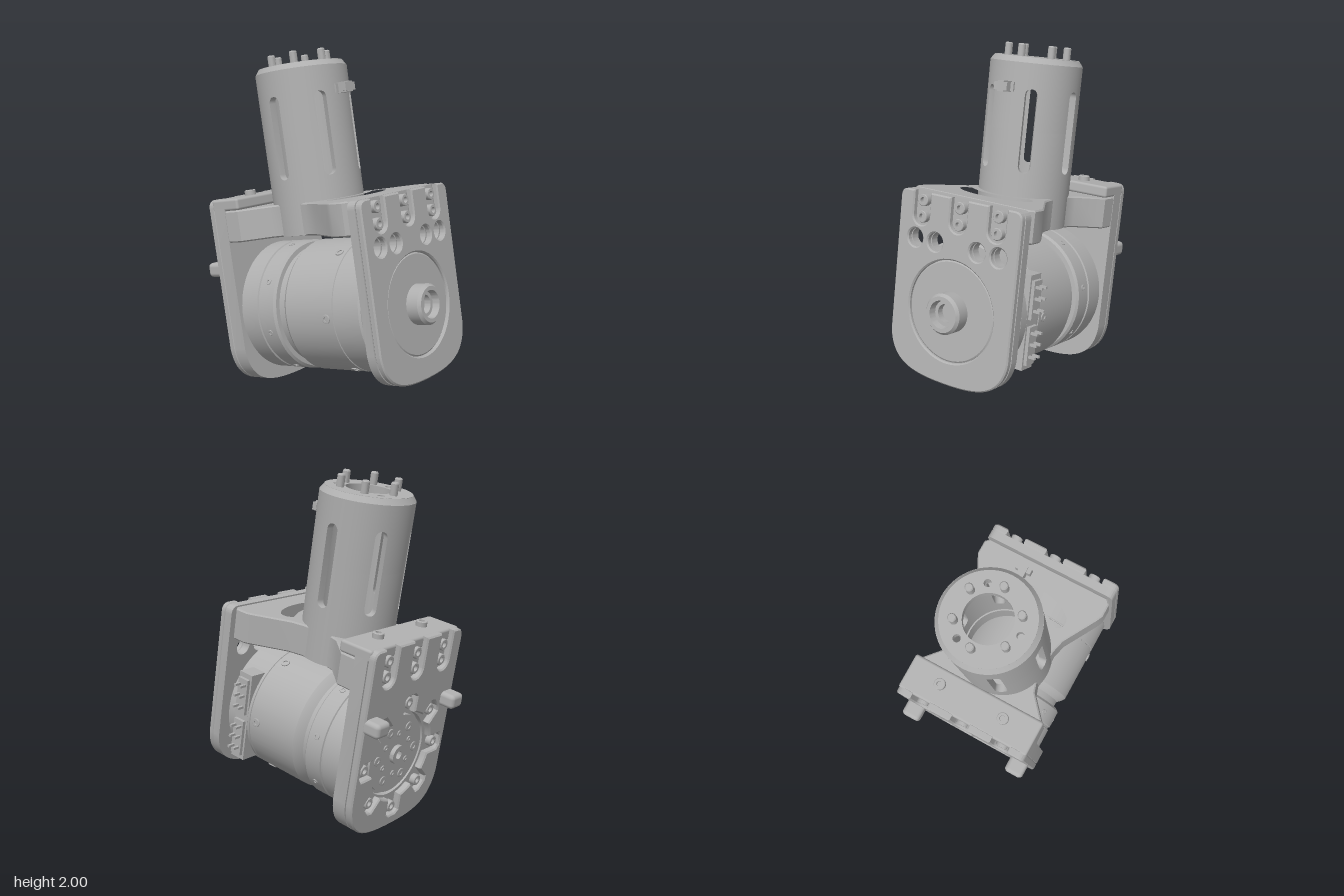
import * as THREE from 'three';
import { toCreasedNormals } from 'three/addons/utils/BufferGeometryUtils.js';
import { RoundedBoxGeometry } from 'three/addons/geometries/RoundedBoxGeometry.js';

const V2 = (x, y) => new THREE.Vector2(x, y);
const UP = new THREE.Vector3(0, 1, 0);
const HALF = 0.407;             // half width of the side plates
const TUBE = { z: -0.03, r: 0.267, inner: 0.225 };

export function createModel() {
  const metal = new THREE.MeshStandardMaterial({ color: 0xb0b0b0 });
  metal.name = 'grey metal';
  const model = new THREE.Group();
  model.name = 'robotJoint';
  // everything is built upright along the motor axis (z), then leaned back
  const joint = new THREE.Group();
  joint.name = 'tiltedJoint';
  joint.position.set(-0.017, 0.52, 0);
  joint.rotation.x = -THREE.MathUtils.degToRad(10);
  model.add(joint);

  const add = (name, geo, x = 0, y = 0, z = 0) => {
    const m = new THREE.Mesh(geo, metal);
    m.name = name;
    m.position.set(x, y, z);
    joint.add(m);
    return m;
  };
  const lathe = (pts, seg = 64) =>
    toCreasedNormals(new THREE.LatheGeometry(pts.map(p => V2(p[0], p[1])), seg), 0.5);
  const extrude = (shape, depth, bevel = 0) => {
    const g = new THREE.ExtrudeGeometry(shape, {
      depth: depth - 2 * bevel, curveSegments: 24, bevelEnabled: bevel > 0,
      bevelSize: bevel, bevelThickness: bevel, bevelOffset: -bevel, bevelSegments: 1,
    });
    g.translate(0, 0, bevel);
    return toCreasedNormals(g, 0.5);
  };
  const circle = (x, y, r) => new THREE.Path().absarc(x, y, r, 0, Math.PI * 2, true);

  // socket-head bolt standing on a surface and pointing along dir
  const boltGeo = lathe([[1, 0], [1, 0.9], [0.9, 1], [0.5, 1], [0.5, 0.3], [0, 0.3]], 16);
  const bolt = (name, r, h, pos, dir) => {
    const m = add(name, boltGeo, ...pos);
    m.scale.set(r, h, r);
    m.quaternion.setFromUnitVectors(UP, new THREE.Vector3(...dir).normalize());
  };

  // plate outline: rounded bottom, optional U notches in the top edge
  const plateShape = (top, bottom, notchEnd) => {
    const s = new THREE.Shape();
    s.moveTo(0, bottom);
    s.quadraticCurveTo(0.13, bottom, 0.2, bottom + 0.015);
    s.quadraticCurveTo(HALF - 0.015, bottom + 0.05, HALF, -0.19);
    s.lineTo(HALF, top - 0.05);
    s.quadraticCurveTo(HALF, top, HALF - 0.05, top);
    if (notchEnd) for (const x of [0.254, 0, -0.254]) {
      s.lineTo(x + 0.057, top);
      s.lineTo(x + 0.057, notchEnd);
      s.absarc(x, notchEnd, 0.057, 0, Math.PI, true);
      s.lineTo(x - 0.057, top);
    }
    s.lineTo(-HALF + 0.05, top);
    s.quadraticCurveTo(-HALF, top, -HALF, top - 0.05);
    s.lineTo(-HALF, -0.19);
    s.quadraticCurveTo(-HALF + 0.015, bottom + 0.05, -0.2, bottom + 0.015);
    s.quadraticCurveTo(-0.13, bottom, 0, bottom);
    return s;
  };

  // front plate: plain inner layer, notched outer layer, recessed disc and hub
  const frontInner = plateShape(0.63, -0.42), frontOuter = plateShape(0.63, -0.42, 0.497);
  for (const s of [frontInner, frontOuter])
    for (const x of [-0.283, -0.143, 0.143, 0.283]) s.holes.push(circle(x, 0.365, 0.052));
  frontOuter.holes.push(circle(0, 0, 0.288));
  add('frontPlateInner', extrude(frontInner, 0.05), 0, 0, 0.505);
  add('frontPlateOuter', extrude(frontOuter, 0.04, 0.008), 0, 0, 0.555);
  const disc = lathe([[0.286, 0.55], [0.286, 0.578], [0.278, 0.584], [0, 0.584]]);
  add('frontDisc', disc.rotateX(Math.PI / 2));
  const hub = lathe([[0.114, 0.57], [0.114, 0.655], [0.1, 0.672], [0.078, 0.672],
    [0.072, 0.63], [0.052, 0.63], [0.052, 0.59], [0, 0.59]]);
  add('frontHub', hub.rotateX(Math.PI / 2));

  // back plate: the outer layer has pockets opening into the central hole
  const backInner = plateShape(0.7, -0.435), backOuter = plateShape(0.7, -0.435, 0.53);
  backInner.holes.push(circle(0, 0, 0.255));
  const pockets = new THREE.Path();
  for (let k = 0; k < 8; k++) {
    const a = -k * Math.PI / 4, ring = [[0.265, 0.2], [0.36, 0.15], [0.375, 0.08],
      [0.375, -0.08], [0.36, -0.15], [0.265, -0.2], [0.265, -0.3], [0.265, -0.4], [0.265, -0.5]];
    ring.forEach(([r, d], i) => {
      const p = [r * Math.cos(a + d), r * Math.sin(a + d)];
      if (k + i === 0) pockets.moveTo(...p); else pockets.lineTo(...p);
    });
  }
  pockets.closePath();
  backOuter.holes.push(pockets);
  add('backPlateInner', extrude(backInner, 0.085), 0, 0, -0.49);
  add('backPlateOuter', extrude(backOuter, 0.047, 0.008), 0, 0, -0.537);
  add('backFlange', new RoundedBoxGeometry(2 * HALF, 0.068, 0.21, 2, 0.015), 0, 0.666, -0.4);
  for (const s of [-1, 1]) {
    add('stopBlock', new RoundedBoxGeometry(0.112, 0.085, 0.13, 3, 0.025), s * 0.35, 0.285, -0.56);
    bolt('flangeBolt', 0.033, 0.03, [s * 0.2, 0.7, -0.384], [0, 1, 0]);
  }

  // plate bolts
  for (const x of [-0.254, 0, 0.254]) {
    for (const y of [0.58, 0.487]) bolt('frontPlateBolt', 0.034, 0.034, [x, y, 0.555], [0, 0, 1]);
    for (const y of [0.62, 0.53]) bolt('backPlateBolt', 0.034, 0.034, [x, y, -0.49], [0, 0, -1]);
  }
  for (let k = 0; k < 8; k++) {
    const a = k * Math.PI / 4;
    bolt('pocketBolt', 0.033, 0.035, [0.325 * Math.cos(a), 0.325 * Math.sin(a), -0.49], [0, 0, -1]);
  }

  // motor housing with neck, grooves and rear output flange
  const motor = lathe([[0, -0.475], [0.025, -0.475], [0.025, -0.515], [0.055, -0.515],
    [0.055, -0.49], [0.235, -0.49], [0.235, -0.46], [0.254, -0.46], [0.254, -0.42],
    [0.37, -0.42], [0.385, -0.405], [0.385, -0.28], [0.377, -0.276], [0.377, -0.264],
    [0.385, -0.26], [0.385, -0.155], [0.372, -0.142], [0.346, -0.14], [0.346, -0.1],
    [0.372, -0.075], [0.385, -0.055], [0.385, 0.284], [0.38, 0.286], [0.38, 0.292],
    [0.385, 0.294], [0.385, 0.465], [0.375, 0.475], [0.11, 0.475], [0.11, 0.52], [0, 0.52]], 72);
  add('motorHousing', motor.rotateX(Math.PI / 2));
  const radialBolts = (name, n, start, r, h, z) => {
    for (let k = 0; k < n; k++) {
      const a = start + k * 2 * Math.PI / n, c = Math.cos(a), s = Math.sin(a);
      bolt(name, r, h, [0.381 * c, 0.381 * s, z], [c, s, 0]);
    }
  };
  radialBolts('housingBolt', 6, 0, 0.026, 0.01, 0.238);
  radialBolts('neckBolt', 8, 0.24, 0.018, 0.008, -0.208);
  for (let k = 0; k < 12; k++) {
    const a = k * Math.PI / 6, big = k % 2 === 0;
    const r = big ? 0.17 : 0.125;
    bolt('outputFlangeBolt', big ? 0.028 : 0.018, 0.008,
      [r * Math.cos(a), r * Math.sin(a), -0.488], [0, 0, -1]);
  }

  // electrical connectors on the left side of the motor
  add('connectorBase', new THREE.BoxGeometry(0.13, 0.54, 0.1), 0.32, -0.005, 0.36);
  for (const y of [0.125, -0.135]) {
    add('connector', new THREE.BoxGeometry(0.03, 0.22, 0.075), 0.39, y, 0.36);
    for (const dy of [-0.06, 0.01, 0.075]) for (const dz of [-0.02, 0.02])
      add('connectorPin', new THREE.BoxGeometry(0.06, 0.014, 0.014), 0.417, y + dy, 0.36 + dz);
  }

  // waisted bridge joining the plates, with tube bore and crescent window
  const bridge = new THREE.Shape();
  const side = [[0.38, 0.495], [0.405, 0.47], [0.405, 0.39], [0.385, 0.35], [0.275, 0.16],
    [0.255, 0.08], [0.255, -0.11], [0.275, -0.17], [0.4, -0.31], [0.405, -0.42]];
  bridge.setFromPoints([...side.map(p => V2(p[0], p[1])),
    ...side.slice().reverse().map(p => V2(-p[0], p[1]))]);
  bridge.holes.push(circle(0, TUBE.z, TUBE.inner));
  const window_ = new THREE.Path();
  window_.moveTo(-0.2, 0.2);
  window_.quadraticCurveTo(-0.27, 0.22, -0.24, 0.29);
  window_.bezierCurveTo(-0.14, 0.4, 0.14, 0.4, 0.24, 0.29);
  window_.quadraticCurveTo(0.27, 0.22, 0.2, 0.2);
  window_.quadraticCurveTo(0, 0.335, -0.2, 0.2);
  bridge.holes.push(window_);
  add('bridge', extrude(bridge, 0.185, 0.008).rotateX(Math.PI / 2), 0, 0.63, 0);

  // tube wall: two rings meeting at mid height, cut back by six round-ended slots
  const slotHalf = 0.035, mid = 1.002, straight = 0.2;
  const samples = [];           // [angle, half height of the slot opening]
  for (let k = 0; k < 6; k++) {
    const c = (k + 0.5) * Math.PI / 3, w = slotHalf / TUBE.r;
    for (let i = 0; i <= 6; i++) samples.push([c - Math.PI / 6 + (Math.PI / 6 - w) * i / 6, 0]);
    for (let i = 0; i <= 10; i++) {
      const t = -Math.cos(Math.PI * i / 10);
      samples.push([c + w * t, straight + slotHalf * Math.sqrt(Math.max(0, 1 - t * t))]);
    }
    for (let i = 0; i < 6; i++) samples.push([c + w + (Math.PI / 6 - w) * i / 6, 0]);
  }
  samples.push([Math.PI * 2, 0]);
  const tubeRing = (bottom, top) => {
    const pos = [], idx = [];
    samples.forEach(([a, h], i) => {
      const lo = bottom(h), hi = top(h);
      for (const [r, y] of [[TUBE.r, lo], [TUBE.r, hi], [TUBE.inner, hi], [TUBE.inner, lo]])
        pos.push(r * Math.sin(a), y, r * Math.cos(a));
      if (i) for (let k = 0; k < 4; k++) {
        const p = 4 * (i - 1) + k, q = 4 * (i - 1) + (k + 1) % 4;
        idx.push(p, p + 4, q + 4, p, q + 4, q);
      }
    });
    const g = new THREE.BufferGeometry();
    g.setAttribute('position', new THREE.Float32BufferAttribute(pos, 3));
    g.setIndex(idx);
    return toCreasedNormals(g, 0.5);
  };
  add('tubeLower', tubeRing(() => 0.448, h => mid - h), 0, 0, TUBE.z);
  add('tubeUpper', tubeRing(h => mid + h, () => 1.378), 0, 0, TUBE.z);

  // tube cap with bore, three holes and six dowel pins
  add('tubeCapEdge', lathe([[TUBE.r, 1.377], [0.243, 1.41]]), 0, 0, TUBE.z);
  const cap = new THREE.Shape().absarc(0, 0, 0.244, 0, Math.PI * 2, false);
  cap.holes.push(circle(0, 0, 0.129));
  for (const a of [60, 180, 300].map(THREE.MathUtils.degToRad))
    cap.holes.push(circle(0.178 * Math.cos(a), 0.178 * Math.sin(a), 0.02));
  add('tubeCap', extrude(cap, 0.05).rotateX(Math.PI / 2), 0, 1.41, TUBE.z);
  const pin = lathe([[0.022, 0], [0.022, 0.065], [0.017, 0.072], [0, 0.072]], 16);
  for (let k = 0; k < 6; k++) {
    const a = k * Math.PI / 3;
    add('dowelPin', pin, 0.168 * Math.sin(a), 1.408, TUBE.z + 0.168 * Math.cos(a));
  }

  // small cable clip on the front of the tube
  add('cableClipStem', new THREE.BoxGeometry(0.04, 0.06, 0.09), 0, 1.24, 0.27);
  add('cableClipHead', new THREE.BoxGeometry(0.085, 0.045, 0.03), 0, 1.24, 0.3);
  add('cableClipFoot', new THREE.BoxGeometry(0.08, 0.05, 0.02), 0, 1.24, 0.235);

  return model;
}
